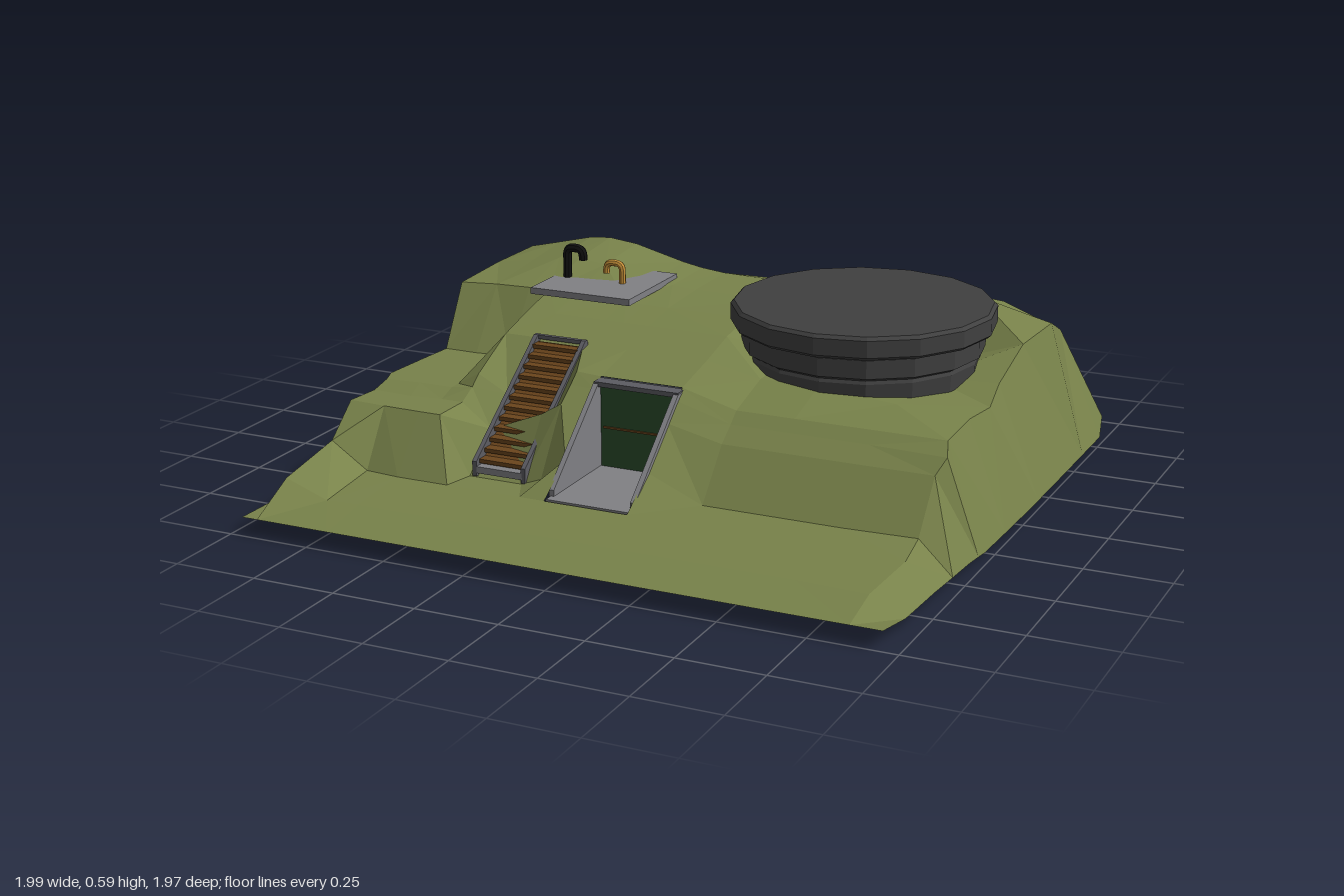
import * as THREE from 'three';

const mat = (color, side = THREE.FrontSide) => new THREE.MeshStandardMaterial({ color, flatShading: true, side });

function add(parent, name, geo, material, x = 0, y = 0, z = 0) {
  const m = new THREE.Mesh(geo, material);
  m.name = name;
  m.position.set(x, y, z);
  parent.add(m);
  return m;
}

// Hill grid: stations across, and [z, height] of the slope from front to back
const COLS = [-0.92, -0.8, -0.69, -0.62, -0.525, -0.355, -0.29, -0.21, 0.05, 0.22, 0.4, 0.64, 0.86];
const SLOPE = [[0.82, 0.075], [0.61, 0.09], [0.48, 0.1], [0.35, 0.24], [0.29, 0.28], [0.25, 0.31],
  [0.08, 0.39], [-0.06, 0.425], [-0.2, 0.445], [-0.4, 0.45], [-0.62, 0.45], [-0.83, 0.39]];

const bump = (x, z, cx, cz, size, width) => size * Math.exp(-((x - cx) ** 2 + (z - cz) ** 2) / width ** 2);

function hillHeight(x, z, base) {
  let y = base + bump(x, z, -0.62, -0.55, 0.085, 0.25) + bump(x, z, 0.68, -0.65, 0.03, 0.15);
  if (x < -0.6 && z > 0.3 && z < 0.5) y = 0.25; // left shelf
  if (x < -0.65 && z > -0.1) y = Math.min(y, 0.27); // low left wing
  if (x < -0.85 && z > 0.5) y = z > 0.7 ? 0.125 : 0.17;
  if (x > 0.2 && z > -0.5) { // hollow for the hatch, falling to the right
    const rise = x > 0.8 ? 0.3 * Math.max(0, -z - 0.1) : 0;
    y = Math.min(y, 0.355 - 0.08 * Math.max(0, x - 0.4) + rise);
  }
  if (x > 0.8 && z < -0.5) y -= 0.04;
  // banks against the garage walls, with a mound above
  if (Math.abs(x + 0.08) < 0.14 && z > 0.2 && z < 0.5) y = Math.min(0.355, 0.565 - 0.82 * z);
  if (Math.abs(x + 0.29) < 0.01 && z > 0.2 && z < 0.4) y += 0.05;
  if (Math.abs(x + 0.44) < 0.1 && z > 0.2 && z < 0.5) { // stair cutting, partly slumped
    y = x > -0.4 && z > 0.3 && z < 0.4 ? 0.25 : Math.min(y, 0.46 - 0.8 * z);
  }
  return y;
}

// Plan of the rear rim, swinging further back behind the hatch
function rimZ(x) {
  if (x < -0.85) return -0.66;
  if (x < -0.75) return -0.77;
  return x > 0.8 ? -0.79 : -0.8 - 0.075 * THREE.MathUtils.smoothstep(x, -0.3, 0.2);
}

function hillGeometry() {
  const pos = [], index = [];
  const w = COLS.length + 2, last = SLOPE.length - 1;
  // front rim
  [-0.97, ...COLS, 0.95].forEach(x => pos.push(x, 0.05, 0.985));
  // rows, each with a low skirt point at either side
  SLOPE.forEach(([z, base], r) => {
    const back = r / last;
    const skirtZ = r === last ? -0.75 : z;
    pos.push(-0.975 - 0.02 * Math.sin(r * 1.3) ** 2, 0.045 - 0.002 * r, skirtZ);
    COLS.forEach((x, c) => {
      const shift = Math.abs(x) > 0.75 ? 0.012 : 0;
      const pz = r === last ? rimZ(x) : z + shift * Math.cos(r * 1.7 + c);
      pos.push(x + shift * Math.sin(r * 2.1 + c), hillHeight(x, z, base), pz);
    });
    pos.push(0.95 + 0.045 * back, 0.02 - 0.02 * Math.sin(back * Math.PI), r === last ? -0.79 : z);
  });
  // back rim with a clipped corner and a small spur
  [-0.92, ...COLS, 0.96].forEach((x, c) => {
    const z = c < 2 ? -0.81 : c === 2 ? -0.905 : -0.935 + bump(x, 0, 0.27, 0, -0.06, 0.13);
    pos.push(x, 0.03 + 0.01 * Math.sin(c), z);
  });
  const garageCol = COLS.indexOf(-0.21) + 1;
  for (let r = 0; r < SLOPE.length + 1; r++) {
    for (let c = 0; c < w - 1; c++) {
      if (c === garageCol && r >= 2 && r <= 5) continue; // opening for the garage
      const a = r * w + c, b = a + 1, d = a + w, e = d + 1;
      if ((r + c) % 2) index.push(a, b, e, a, e, d);
      else index.push(a, b, d, b, e, d);
    }
  }
  const g = new THREE.BufferGeometry();
  g.setAttribute('position', new THREE.Float32BufferAttribute(pos, 3));
  g.setIndex(index);
  g.computeVertexNormals();
  return g;
}

// Side profile drawn as (z, y), given a thickness along x
function sidePlate(points, thickness) {
  const shape = new THREE.Shape(points.map(([z, y]) => new THREE.Vector2(-z, y)));
  const g = new THREE.ExtrudeGeometry(shape, { depth: thickness, bevelEnabled: false });
  g.translate(0, 0, -thickness / 2);
  return g.rotateY(Math.PI / 2);
}

// Upright pipe with its end bent over and down
function ventPipe(parent, name, x, top, dir, radius, material) {
  const reach = 0.055 * dir, z = -0.295;
  const path = new THREE.CurvePath();
  const v = (px, py) => new THREE.Vector3(px, py, z);
  path.add(new THREE.LineCurve3(v(x, 0.45), v(x, top - 0.022)));
  path.add(new THREE.QuadraticBezierCurve3(v(x, top - 0.022), v(x, top), v(x + reach * 0.4, top)));
  path.add(new THREE.LineCurve3(v(x + reach * 0.4, top), v(x + reach * 0.6, top)));
  path.add(new THREE.QuadraticBezierCurve3(v(x + reach * 0.6, top), v(x + reach, top), v(x + reach, top - 0.025)));
  path.add(new THREE.LineCurve3(v(x + reach, top - 0.025), v(x + reach, top - 0.035)));
  add(parent, name, new THREE.TubeGeometry(path, 28, radius, 8), material);
  // end cap
  const disc = new THREE.CircleGeometry(radius, 8).rotateX(Math.PI / 2);
  add(parent, name + 'Mouth', disc, material, x + reach, top - 0.035, z);
}

export function createModel() {
  const root = new THREE.Group();
  root.name = 'hillBunker';
  const grass = mat(0x78824a, THREE.DoubleSide);
  const concrete = mat(0x808084);
  const frame = mat(0x5c5c62);
  const steel = mat(0x404040);
  const wood = mat(0x6b451c);
  const green = mat(0x2b4d2c);

  add(root, 'hill', hillGeometry(), grass);

  // Round hatch: stepped drum with an overhanging lid
  const lathe = pts => new THREE.LatheGeometry(pts.map(p => new THREE.Vector2(...p)), 16);
  const hatch = new THREE.Group();
  hatch.name = 'hatch';
  hatch.position.set(0.412, 0, -0.243);
  root.add(hatch);
  add(hatch, 'hatchDrum', lathe([[0, 0.31], [0.345, 0.31], [0.35, 0.38], [0.345, 0.39], [0.362, 0.4],
    [0.362, 0.455], [0.345, 0.465], [0, 0.465]]), steel);
  add(hatch, 'hatchLid', lathe([[0, 0.463], [0.385, 0.463], [0.395, 0.472], [0.395, 0.522], [0.385, 0.532], [0, 0.532]]), steel);

  // Slab half sunk in the hilltop, with two vents
  add(root, 'slab', new THREE.BoxGeometry(0.34, 0.02, 0.34), concrete, -0.478, 0.468, -0.3);
  ventPipe(root, 'blackVent', -0.605, 0.573, 1, 0.014, mat(0x111111));
  ventPipe(root, 'brassVent', -0.413, 0.54, -1, 0.011, mat(0xc8923a));

  // Garage entrance: floor, sloping side walls, lintel and door
  const garage = new THREE.Group();
  garage.name = 'garage';
  root.add(garage);
  add(garage, 'garageFloor', new THREE.BoxGeometry(0.26, 0.03, 0.34), concrete, -0.08, 0.077, 0.43);
  for (const side of [-1, 1]) {
    const wall = sidePlate([[0.255, 0.06], [0.57, 0.06], [0.57, 0.11], [0.29, 0.345], [0.255, 0.345]], 0.016);
    add(garage, side < 0 ? 'rightWall' : 'leftWall', wall, concrete, -0.08 + side * 0.128);
  }
  add(garage, 'lintel', new THREE.BoxGeometry(0.27, 0.014, 0.045), frame, -0.08, 0.343, 0.267);
  add(garage, 'garageBack', new THREE.BoxGeometry(0.26, 0.27, 0.012), concrete, -0.08, 0.205, 0.256);
  add(garage, 'garageDoor', new THREE.BoxGeometry(0.236, 0.245, 0.016), green, -0.08, 0.212, 0.27);
  add(garage, 'doorStripe', new THREE.BoxGeometry(0.22, 0.006, 0.004), wood, -0.08, 0.212, 0.28);

  // Staircase up the slope
  const stairs = new THREE.Group();
  stairs.name = 'stairs';
  root.add(stairs);
  const steps = 12;
  for (let i = 0; i < steps; i++) {
    const t = (i + 0.5) / steps;
    add(stairs, 'tread', new THREE.BoxGeometry(0.15, 0.012, 0.036), wood, -0.425, 0.11 + 0.28 * t, 0.465 - 0.365 * t);
  }
  for (const x of [-0.506, -0.346]) {
    const side = sidePlate([[0.485, 0.08], [0.485, 0.125], [0.1, 0.405], [0.085, 0.405], [0.085, 0.36], [0.45, 0.08]], 0.014);
    add(stairs, 'stringer', side, frame, x);
  }
  add(stairs, 'bottomStep', new THREE.BoxGeometry(0.15, 0.02, 0.03), concrete, -0.425, 0.1, 0.47);
  add(stairs, 'topBeam', new THREE.BoxGeometry(0.17, 0.012, 0.014), frame, -0.425, 0.398, 0.09);
  const backing = sidePlate([[0.46, 0.098], [0.46, 0.106], [0.1, 0.386], [0.1, 0.378]], 0.15);
  add(stairs, 'stairBacking', backing, wood, -0.425);

  return root;
}
